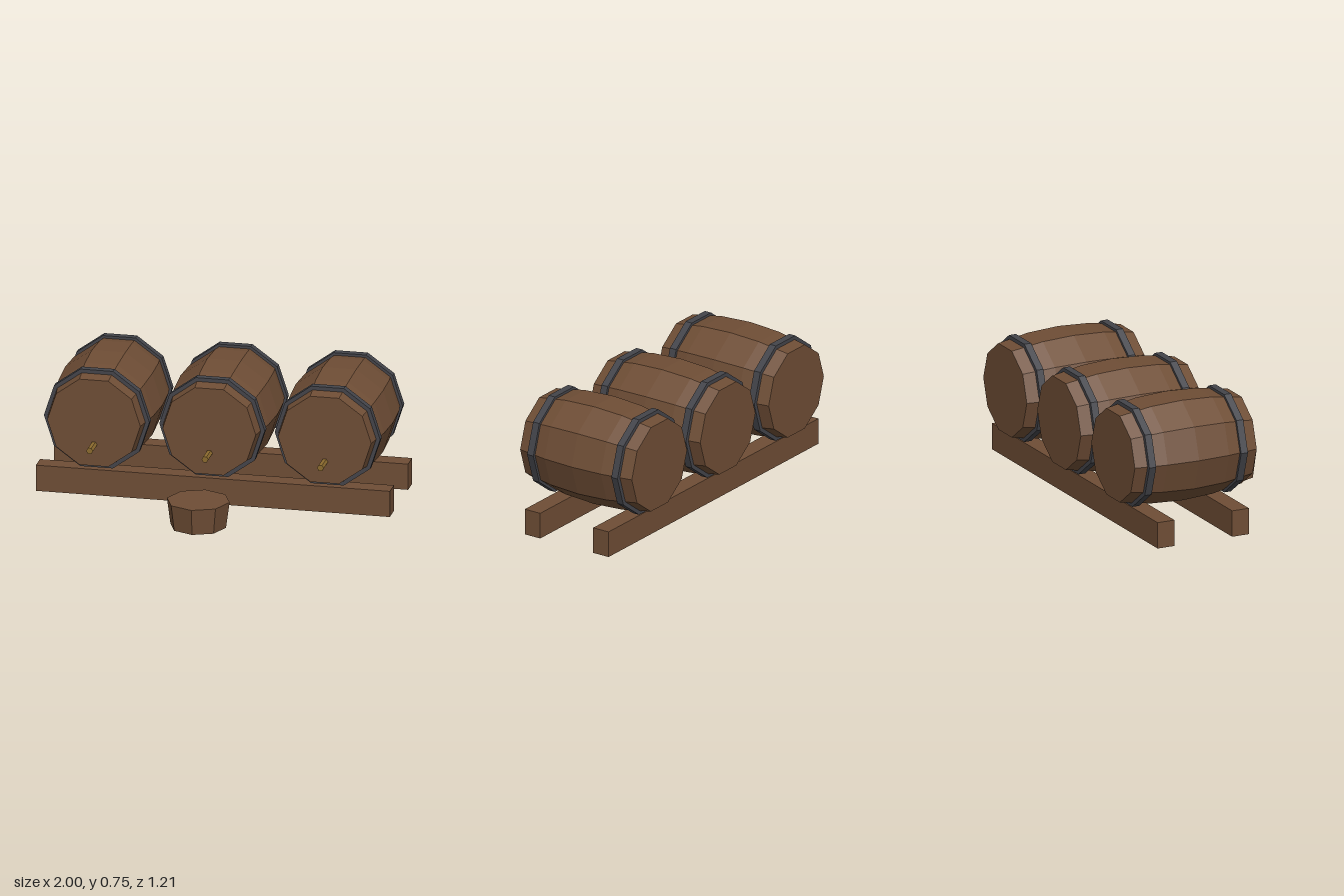
import * as THREE from 'three';

export function createModel() {
  const model = new THREE.Group();
  const flat = (name, color) => {
    const m = new THREE.MeshStandardMaterial({ color, flatShading: true });
    m.name = name;
    return m;
  };
  const wood = flat('brown wood', 0x6e4d35);
  const iron = flat('dark iron', 0x43444a);
  const brass = flat('old brass', 0x8b6a2e);

  const add = (parent, name, geometry, material, x = 0, y = 0, z = 0) => {
    const mesh = new THREE.Mesh(geometry, material);
    mesh.name = name;
    mesh.position.set(x, y, z);
    parent.add(mesh);
    return mesh;
  };

  // Bulging ten-sided barrel body with closed ends, laid along z
  const profile = [
    [0, -0.3775], [0.263, -0.3775], [0.295, -0.19], [0.305, 0],
    [0.295, 0.19], [0.263, 0.3775], [0, 0.3775],
  ].map(([r, h]) => new THREE.Vector2(r, h));
  const bodyGeo = new THREE.LatheGeometry(profile, 10, Math.PI / 2).rotateX(Math.PI / 2);

  // Hoop band and hexagonal tap, also along z with corners at the sides
  const hoopGeo = new THREE.CylinderGeometry(0.298, 0.298, 0.042, 10, 1, false, Math.PI / 2)
    .rotateX(Math.PI / 2);
  const tapGeo = new THREE.CylinderGeometry(0.019, 0.019, 0.15, 6, 1, false, Math.PI / 2)
    .rotateX(Math.PI / 2);

  // Three barrels in a row
  for (const x of [-0.652, 0, 0.652]) {
    const barrel = new THREE.Group();
    barrel.name = 'barrel';
    barrel.position.set(x, 0.455, -0.2275);
    add(barrel, 'barrelBody', bodyGeo, wood);
    for (const side of [-1, 1]) add(barrel, 'hoop', hoopGeo, iron, 0, 0, side * 0.2845);
    add(barrel, 'tap', tapGeo, brass, 0, -0.127, 0.4105);
    model.add(barrel);
  }

  // Two long support rails
  const railGeo = new THREE.BoxGeometry(2, 0.15, 0.104);
  add(model, 'frontRail', railGeo, wood, 0, 0.075, 0.006);
  add(model, 'backRail', railGeo, wood, 0, 0.075, -0.456);

  // Tapered eight-sided tub under the middle tap
  add(model, 'tub', new THREE.CylinderGeometry(0.177, 0.157, 0.15, 8), wood, 0, 0.075, 0.428);

  return model;
}
